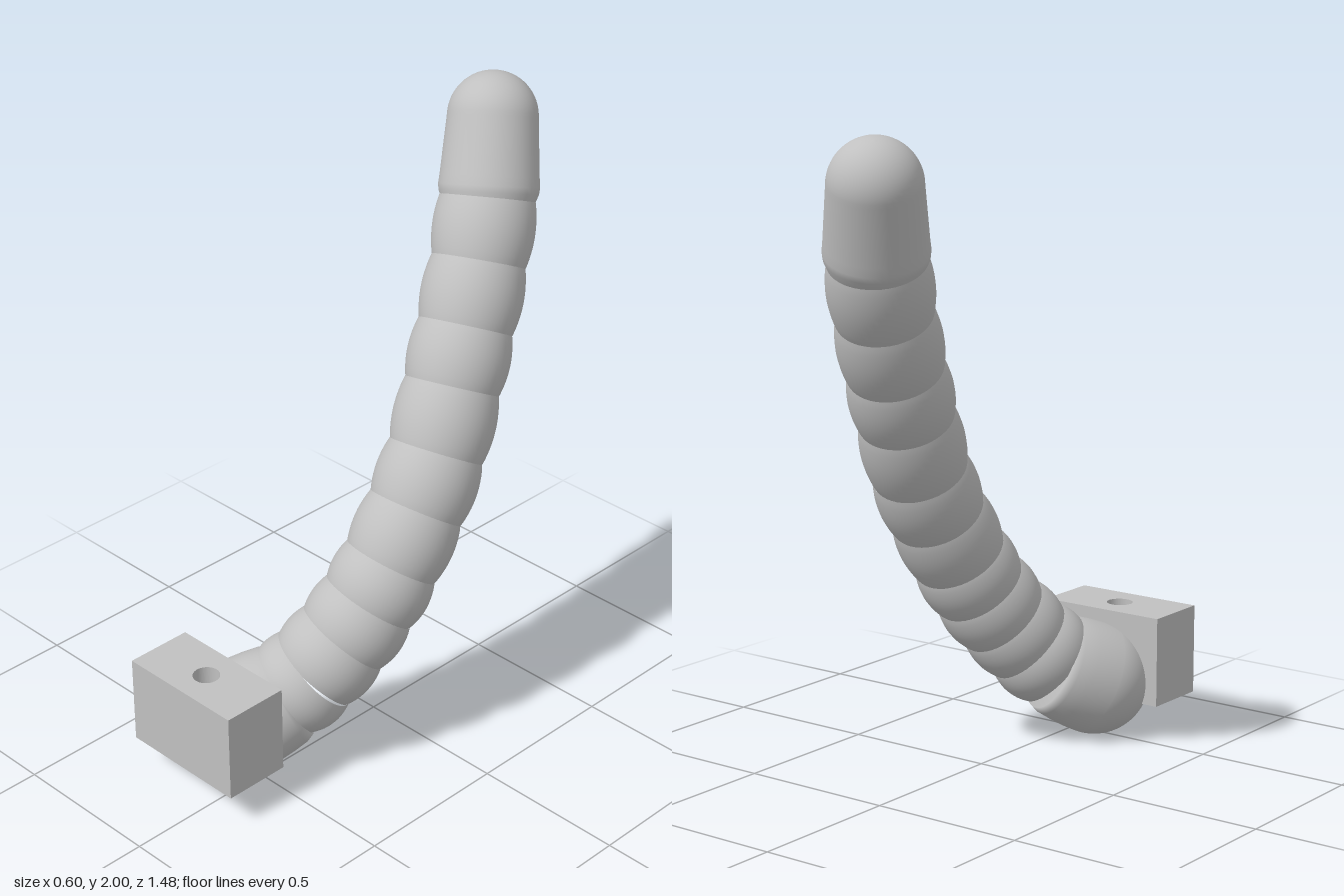
import * as THREE from 'three';

const V = (x, y, z) => new THREE.Vector3(x, y, z);
const UP = V(0, 1, 0);

// Lathe profile [radius, height] standing at a, its axis pointing to b
function latheBetween(profile, a, b, sides) {
  const geo = new THREE.LatheGeometry(profile.map(([r, h]) => new THREE.Vector2(r, h)), sides);
  const turn = new THREE.Quaternion().setFromUnitVectors(UP, b.clone().sub(a).normalize());
  return geo.applyQuaternion(turn).translate(a.x, a.y, a.z);
}

export function createModel() {
  const group = new THREE.Group();
  const grey = new THREE.MeshStandardMaterial({ color: 0xc0c0c0 });
  grey.name = 'grey';
  const add = (name, geo) => {
    const mesh = new THREE.Mesh(geo, grey);
    mesh.name = name;
    group.add(mesh);
  };

  // Joints along the curved arm, from base to tip
  const ball = V(-0.085, 0.18, 0.49);
  const tip = V(-0.085, 1.86, -0.6);
  const joints = [
    V(-0.01, 0.245, 0.37), V(0.045, 0.325, 0.305), V(0.085, 0.42, 0.22),
    V(0.115, 0.526, 0.135), V(0.13, 0.642, 0.055), V(0.133, 0.793, -0.05),
    V(0.12, 0.946, -0.153), V(0.09, 1.126, -0.25), V(0.058, 1.285, -0.34),
    V(0.02, 1.46, -0.436), V(-0.025, 1.64, -0.523),
  ];
  const last = joints.length - 1;

  // Barrel-shaped segments that overlap a little at each joint
  for (let i = 0; i < last; i++) {
    const length = joints[i].distanceTo(joints[i + 1]);
    const bulge = 0.166 - 0.008 * i / last;
    const profile = [];
    for (let k = 0; k <= 12; k++) {
      const t = k / 12;
      profile.push([bulge - 0.017 * (1 - Math.sin(Math.PI * t) ** 0.8), t * (length + 0.02) - 0.01]);
    }
    add('segment' + (i + 1), latheBetween(profile, joints[i], joints[i + 1], 48));
  }

  // Rounded, tapering fingertip
  const tipLength = joints[last].distanceTo(tip);
  const tipProfile = [[0.143, -0.02], [0.154, 0.01], [0.156, 0.03], [0.153, 0.06]];
  for (let k = 0; k <= 16; k++) {
    const a = k / 16 * Math.PI / 2;
    tipProfile.push([0.14 * Math.cos(a), tipLength + 0.14 * Math.sin(a)]);
  }
  add('tip', latheBetween(tipProfile, joints[last], tip, 48));

  // Ball-ended base, running up to the first segment
  const holeX = -0.085, holeZ = 0.635, holeR = 0.042;
  const baseProfile = [];
  for (let k = 0; k <= 64; k++) {
    const a = (k / 64 - 1) * Math.PI / 2;
    baseProfile.push([0.18 * Math.cos(a), 0.18 * Math.sin(a)]);
  }
  baseProfile.push([0.179, 0.04], [0.174, 0.09], [0.166, 0.14], [0.154, 0.165], [0, 0.165]);
  const base = latheBetween(baseProfile, ball, joints[0], 160);
  // Keep the bolt hole clear: flatten inside the block, groove just below it
  const pos = base.attributes.position;
  for (let i = 0; i < pos.count; i++) {
    const x = pos.getX(i) - holeX, y = pos.getY(i), z = pos.getZ(i);
    if (y > 0.115) pos.setZ(i, Math.min(z, 0.56));
    else if (y > 0.075 && Math.abs(x) < holeR) {
      pos.setZ(i, Math.min(z, holeZ - Math.sqrt(holeR * holeR - x * x)));
    }
  }
  base.computeVertexNormals();
  add('base', base);

  // Mounting block with a vertical bolt hole
  const outline = new THREE.Shape([[-0.303, 0.527], [0.133, 0.527], [0.133, 0.745], [-0.303, 0.745]]
    .map(([x, z]) => new THREE.Vector2(x, z)));
  const hole = new THREE.Path();
  hole.absarc(holeX, holeZ, holeR, 0, Math.PI * 2, true);
  outline.holes.push(hole);
  const block = new THREE.ExtrudeGeometry(outline, { depth: 0.29, bevelEnabled: false, curveSegments: 32 });
  add('mountingBlock', block.rotateX(Math.PI / 2).translate(0, 0.403, 0));

  return group;
}
